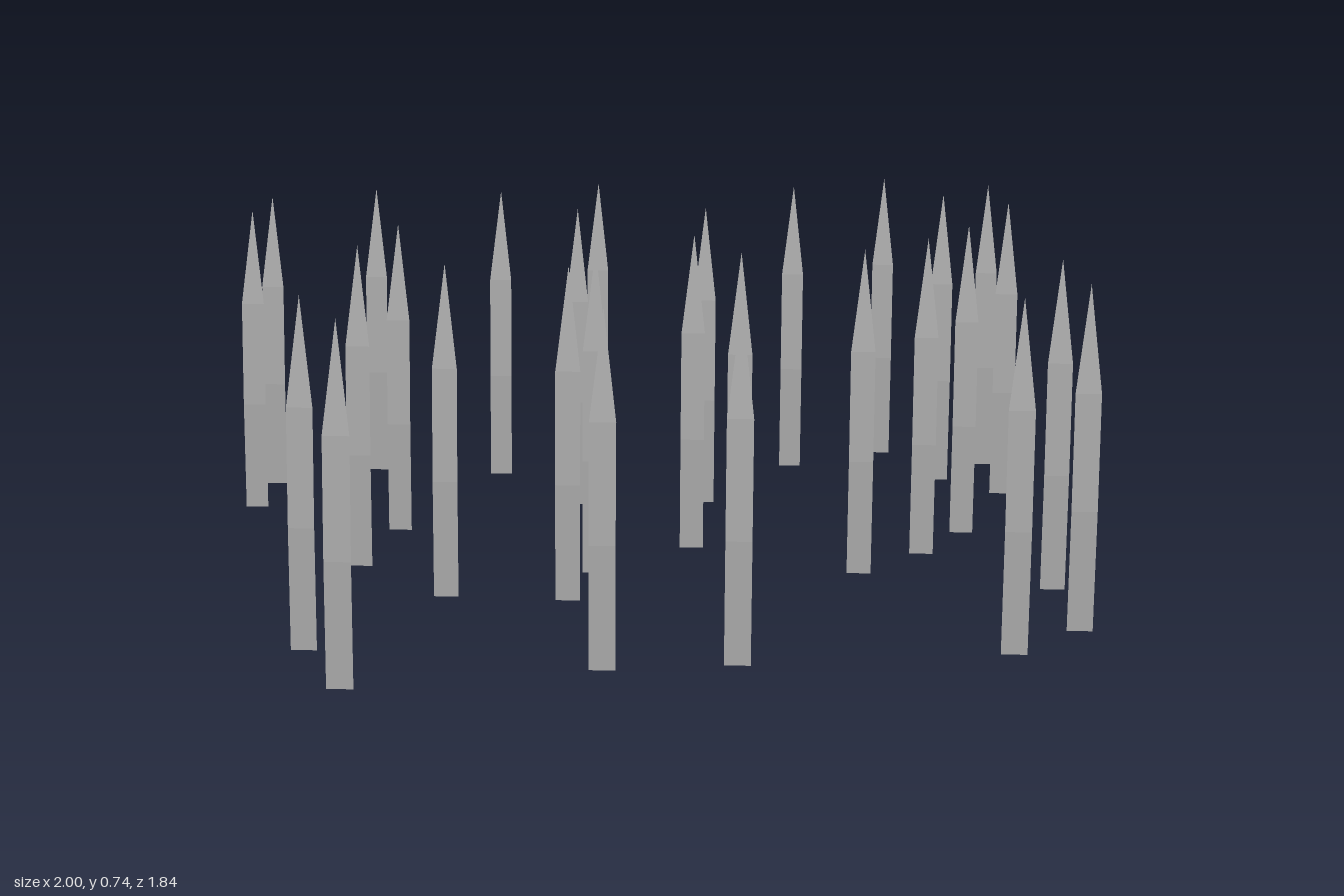
import * as THREE from 'three';

// Ground positions [x, z] of the blades
const SPOTS = [
  [0.607, -0.875], [0.874, -0.778], [0.746, -0.63], [0.9, -0.517], [0.364, -0.735],
  [-0.151, -0.757], [-0.394, -0.619], [-0.723, -0.64], [-0.967, -0.502], [-0.973, -0.3],
  [-0.174, -0.367], [0.142, -0.4], [-0.585, -0.137], [0.125, -0.042], [0.773, -0.192],
  [0.666, -0.027], [0.514, 0.12], [0.237, 0.162], [-0.091, 0.15], [0.944, 0.205],
  [0.97, 0.465], [0.816, 0.61], [-0.635, 0.132], [-0.408, 0.327], [-0.136, 0.337],
  [-0.659, 0.667], [-0.545, 0.873], [-0.031, 0.745], [0.244, 0.703],
];

// Three-sided blade: flat front, ridge at the back, bending backwards to a pointed tip
function bladeGeometry() {
  const halfWidth = 0.0275, depth = 0.045, front = 0.047;
  const sections = [[0, 0], [0.26, -0.02], [0.51, -0.049]]; // [height, backward bend]
  const pos = [], index = [];
  for (const [y, bend] of sections) {
    const z = front + bend;
    pos.push(-halfWidth, y, z, halfWidth, y, z, 0, y, z - depth);
  }
  const tip = pos.length / 3;
  pos.push(0, 0.737, front - 0.089);

  for (let s = 0; s < sections.length; s++) {
    for (let i = 0; i < 3; i++) {
      const a = s * 3 + i, b = s * 3 + (i + 1) % 3;
      if (s < sections.length - 1) index.push(a, b, b + 3, a, b + 3, a + 3);
      else index.push(a, b, tip);
    }
  }
  index.push(0, 2, 1); // base cap

  const geo = new THREE.BufferGeometry();
  geo.setAttribute('position', new THREE.Float32BufferAttribute(pos, 3));
  geo.setIndex(index);
  const flat = geo.toNonIndexed();
  flat.computeVertexNormals();
  return flat;
}

export function createModel() {
  const group = new THREE.Group();
  group.name = 'grassPatch';
  const material = new THREE.MeshStandardMaterial({ color: 0xcccccc, flatShading: true });
  const geometry = bladeGeometry();
  SPOTS.forEach(([x, z], i) => {
    const blade = new THREE.Mesh(geometry, material);
    blade.name = `grassBlade${i + 1}`;
    blade.position.set(x, 0, z);
    group.add(blade);
  });
  return group;
}
